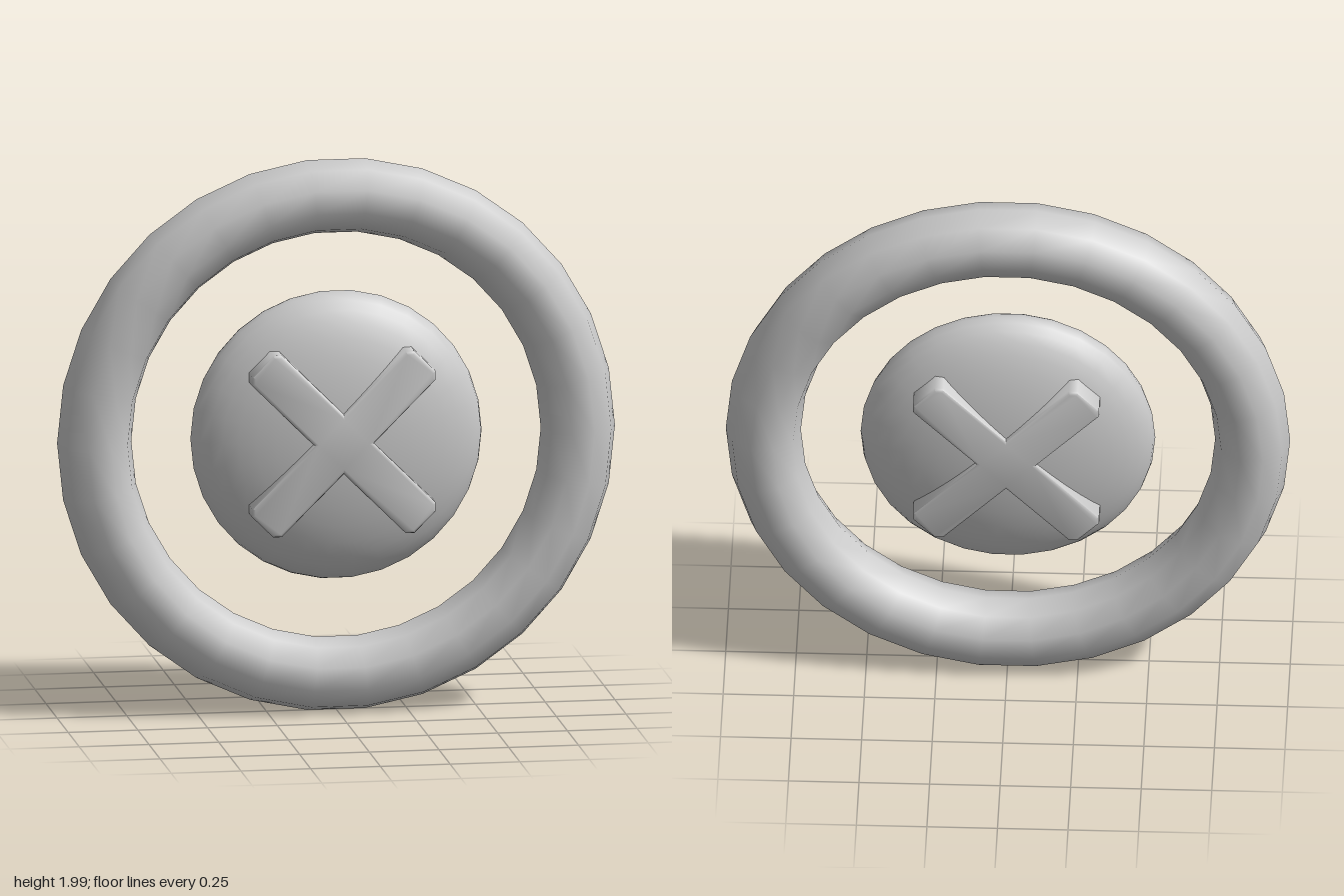
import * as THREE from 'three';
import { toCreasedNormals } from 'three/addons/utils/BufferGeometryUtils.js';

const CENTER_Y = 0.996;

// Four-armed plus outline with chamfered tips
function plusShape(reach, half, chamfer) {
  const arm = [
    [reach - chamfer, -half], [reach, -half + chamfer],
    [reach, half - chamfer], [reach - chamfer, half], [half, half],
  ];
  const points = [];
  for (let i = 0; i < 4; i++) {
    for (const [x, y] of arm) {
      points.push(new THREE.Vector2(x, y).rotateAround(new THREE.Vector2(), i * Math.PI / 2));
    }
  }
  return new THREE.Shape(points);
}

export function createModel() {
  const group = new THREE.Group();
  const material = new THREE.MeshStandardMaterial({ color: 0xcccccc });

  function add(name, geometry) {
    const mesh = new THREE.Mesh(geometry, material);
    mesh.name = name;
    mesh.position.y = CENTER_Y;
    group.add(mesh);
    return mesh;
  }

  // Outer ring with a ten-sided tube
  add('outerRing', new THREE.TorusGeometry(0.867, 0.133, 10, 30));

  // Flattened round body, poles facing front and back
  const disc = new THREE.SphereGeometry(0.522, 30, 20);
  disc.rotateX(Math.PI / 2);
  disc.scale(1, 1, 0.175 / 0.522);
  add('centerDisc', disc);

  // Diagonal cross passing right through the disc, bevelled on both faces
  const bevel = 0.012;
  const depth = 0.374;
  const cross = new THREE.ExtrudeGeometry(plusShape(0.412 - bevel, 0.076 - bevel, 0.015), {
    depth: depth - 2 * bevel,
    bevelEnabled: true,
    bevelThickness: bevel,
    bevelSize: bevel,
    bevelSegments: 2,
  });
  cross.translate(0, 0, bevel - depth / 2);
  cross.rotateZ(Math.PI / 4);
  add('cross', toCreasedNormals(cross, 0.9));

  return group;
}
